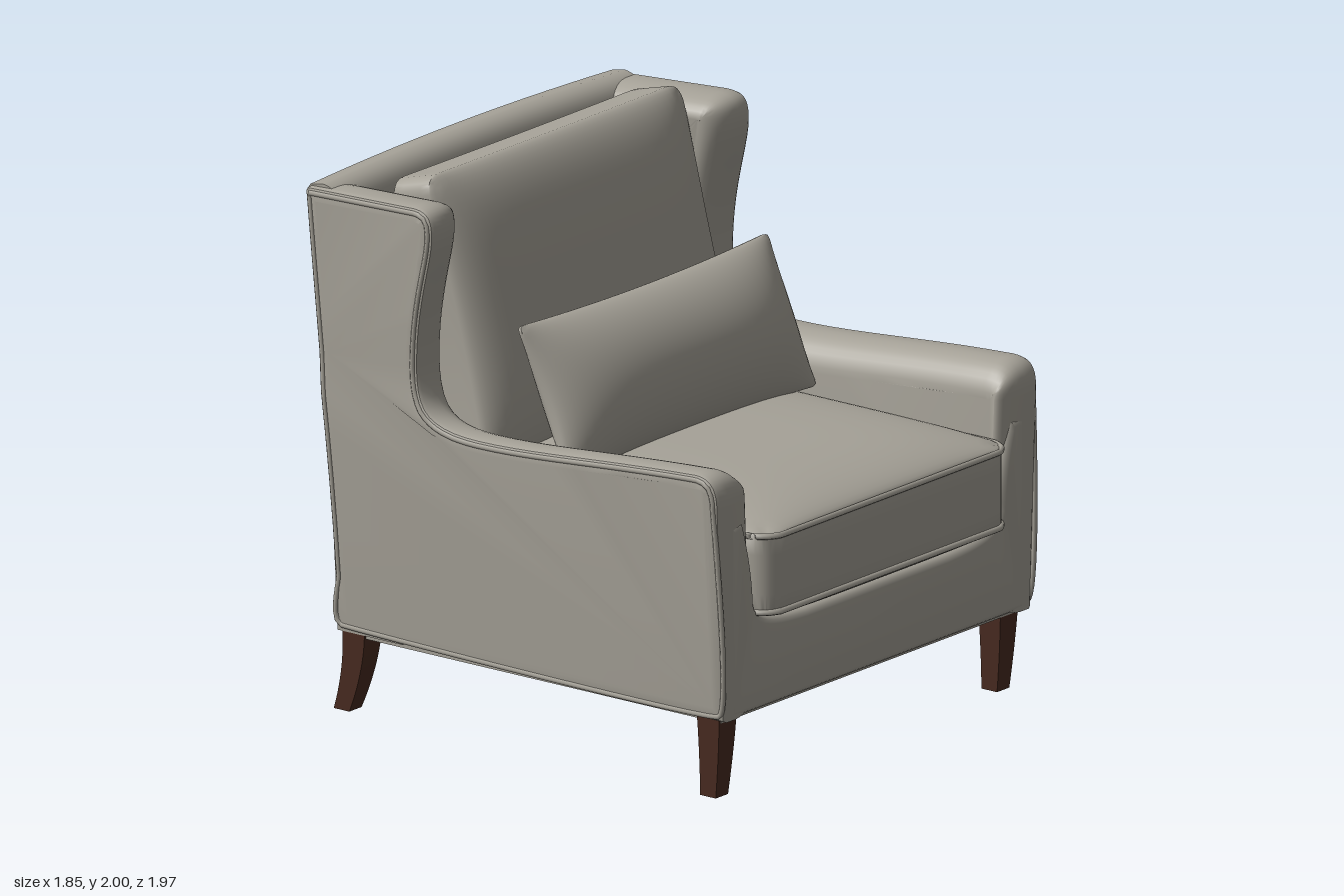
import * as THREE from 'three';
import { mergeVertices, toCreasedNormals } from 'three/addons/utils/BufferGeometryUtils.js';

const fabric = new THREE.MeshStandardMaterial({ color: 0xa6a298 });
fabric.name = 'warm grey fabric';
const wood = new THREE.MeshStandardMaterial({ color: 0x4a2c21 });
wood.name = 'dark brown wood';

function part(group, name, geometry, material = fabric) {
  const mesh = new THREE.Mesh(geometry, material);
  mesh.name = name;
  group.add(mesh);
  return mesh;
}

// Counter-clockwise points of a shape without repeats
function outlineOf(shape) {
  const pts = shape.getPoints(10);
  const clean = pts.filter((p, i) => p.distanceTo(pts[(i + 1) % pts.length]) > 1e-4);
  return THREE.ShapeUtils.isClockWise(clean) ? clean.reverse() : clean;
}

// Mitred outward normals of an outline
function normalsOf(pts) {
  const edge = (p, q) => new THREE.Vector2(q.y - p.y, p.x - q.x).normalize();
  return pts.map((p, i) => {
    const a = edge(pts[(i + pts.length - 1) % pts.length], p);
    const b = edge(p, pts[(i + 1) % pts.length]);
    return a.clone().add(b).divideScalar(Math.max(0.4, 1 + a.dot(b)));
  });
}

// Skin an outline through levels [t, inset]; place(p, n, t, inset) gives [x, y, z]
function loft(pts, levels, place, flip) {
  const n = pts.length, normals = normalsOf(pts), pos = [], idx = [];
  const tri = (a, b, c) => (flip ? idx.push(a, c, b) : idx.push(a, b, c));
  for (const [t, inset] of levels) pts.forEach((p, j) => pos.push(...place(p, normals[j], t, inset)));
  for (let i = 0; i < levels.length - 1; i++) {
    for (let j = 0; j < n; j++) {
      const a = i * n + j, b = i * n + (j + 1) % n;
      tri(a, b, b + n);
      tri(a, b + n, a + n);
    }
  }
  const last = (levels.length - 1) * n;
  for (const [a, b, c] of THREE.ShapeUtils.triangulateShape(pts, [])) {
    tri(a, c, b);
    tri(last + a, last + b, last + c);
  }
  const g = new THREE.BufferGeometry();
  g.setAttribute('position', new THREE.Float32BufferAttribute(pos, 3));
  g.setIndex(idx);
  return toCreasedNormals(g, 0.65);
}

// Closed cord through a list of points
function cord(points, radius) {
  const curve = new THREE.CatmullRomCurve3(points, true, 'catmullrom', 0.1);
  return new THREE.TubeGeometry(curve, 240, radius, 6, true);
}

// Turns a square's corner into an arc of radius r
function roundCorner(x, y, w, h, r) {
  const qx = THREE.MathUtils.clamp(x, r - w / 2, w / 2 - r);
  const qy = THREE.MathUtils.clamp(y, r - h / 2, h / 2 - r);
  const dx = x - qx, dy = y - qy, len = Math.hypot(dx, dy);
  const k = len > 0 ? Math.max(Math.abs(dx), Math.abs(dy)) / len : 1;
  return [qx + dx * k, qy + dy * k];
}

// Stuffed cushion in the xy plane, swelling along z
function cushion({ w, h, r, border, crown, pu = 4, pv = 4, soft = 0.6, pinchX = 0, pinchY = 0 }) {
  const g = new THREE.BoxGeometry(2, 2, 2, 32, 32, 4);
  const p = g.attributes.position;
  for (let i = 0; i < p.count; i++) {
    const u = Math.sin(p.getX(i) * Math.PI / 2), v = Math.sin(p.getY(i) * Math.PI / 2);
    const swell = Math.pow(Math.max(0, (1 - Math.abs(u) ** pu) * (1 - Math.abs(v) ** pv)), soft);
    const [x, y] = roundCorner(u * w / 2, v * h / 2, w, h, r);
    p.setXYZ(i, x * (1 - pinchX * (1 - v * v)), y * (1 - pinchY * (1 - u * u)),
      p.getZ(i) * (border / 2 + crown * swell));
  }
  g.deleteAttribute('uv');
  g.deleteAttribute('normal');
  return toCreasedNormals(mergeVertices(g), 0.8);
}

// Tapered square leg; sweep bends the foot along z
function leg(sweep) {
  const g = new THREE.BoxGeometry(1, 0.3, 1, 1, 10, 1);
  const p = g.attributes.position;
  for (let i = 0; i < p.count; i++) {
    const down = THREE.MathUtils.clamp(0.5 - p.getY(i) / 0.3, 0, 1), size = 0.1 - 0.03 * down;
    p.setXYZ(i, p.getX(i) * size, p.getY(i) + 0.15, p.getZ(i) * size + sweep * down ** 1.8);
  }
  return toCreasedNormals(g, 0.6);
}

export function createModel() {
  const model = new THREE.Group();
  model.name = 'armchair';

  // Side silhouette of arm and wing: shape x is depth z
  const side = new THREE.Shape();
  side.moveTo(-0.84, 0.3);
  side.lineTo(0.92, 0.3);
  side.lineTo(0.92, 1.1);
  side.bezierCurveTo(0.92, 1.18, 0.89, 1.215, 0.82, 1.215);
  side.bezierCurveTo(0.4, 1.195, 0.1, 1.15, -0.16, 1.15);
  side.bezierCurveTo(-0.36, 1.15, -0.44, 1.2, -0.44, 1.36);
  side.bezierCurveTo(-0.44, 1.6, -0.37, 1.75, -0.37, 1.85);
  side.bezierCurveTo(-0.37, 1.92, -0.39, 1.95, -0.46, 1.95);
  side.lineTo(-0.95, 1.925);
  side.lineTo(-0.97, 1.91);
  side.bezierCurveTo(-0.92, 1.4, -0.86, 1.0, -0.84, 0.3);
  const sidePts = outlineOf(side);
  const flare = (y, z) =>
    -0.04 * THREE.MathUtils.clamp((1.2 - y) / 0.9, 0, 1)
    - 0.01 * THREE.MathUtils.clamp((y - 1.2) / 0.1, 0, 1)
    - 0.03 * THREE.MathUtils.clamp((-0.4 - z) / 0.57, 0, 1);
  const sideAt = (s) => (p, n, t, inset) => {
    const small = t > 0.87;
    const z = p.x - n.x * inset * (small ? 1 : p.x > 0.6 ? 0.35 : 0.7);
    const y = p.y - n.y * inset * (small ? 1 : p.y > 1.5 ? 0.6 : 1);
    return [s * (t + flare(p.y, p.x)), y, z];
  };
  const sideLevels = [];
  for (let i = 0; i <= 8; i++) {
    const a = (i / 8) * Math.PI / 2;
    sideLevels.push([0.85 - 0.13 * Math.cos(a), 0.12 * (1 - Math.sin(a))]);
  }
  sideLevels.push([0.9, 0], [0.912, 0.006], [0.918, 0.02], [0.919, 0.05]);
  const sideNormals = normalsOf(sidePts);
  for (const [s, label] of [[1, 'left'], [-1, 'right']]) {
    const at = sideAt(s);
    part(model, label + 'ArmAndWing', loft(sidePts, sideLevels, at, s > 0));
    const seam = sidePts.map((p, j) => new THREE.Vector3(...at(p, sideNormals[j], 0.915, 0.022)));
    part(model, label + 'SidePiping', cord(seam, 0.01));
  }

  // Backrest, slightly bowed towards the rear
  const back = new THREE.Shape();
  back.moveTo(-0.84, 0.3);
  back.lineTo(-0.55, 0.3);
  back.lineTo(-0.81, 1.86);
  back.quadraticCurveTo(-0.83, 1.935, -0.9, 1.94);
  back.lineTo(-0.955, 1.93);
  back.lineTo(-0.97, 1.91);
  back.bezierCurveTo(-0.92, 1.4, -0.86, 1.0, -0.84, 0.3);
  const backLevels = Array.from({ length: 15 }, (_, i) => [-0.87 + (1.74 * i) / 14, 0]);
  const backAt = (p, n, t) => {
    const bow = (1 - (t / 0.87) ** 2) * (p.y - 0.3) / 1.6;
    return [t * (1 + flare(p.y, -0.97) * 0.3), p.y + 0.012 * bow, p.x - 0.018 * bow];
  };
  part(model, 'backrest', loft(outlineOf(back), backLevels, backAt, true));

  // Front rail curving up into the arms
  const rail = new THREE.Shape();
  rail.moveTo(-0.84, 0.3);
  rail.lineTo(0.84, 0.3);
  rail.lineTo(0.84, 1.02);
  rail.lineTo(0.76, 1.02);
  rail.bezierCurveTo(0.72, 0.9, 0.7, 0.8, 0.695, 0.7);
  rail.bezierCurveTo(0.68, 0.64, 0.6, 0.62, 0.4, 0.612);
  rail.lineTo(-0.4, 0.612);
  rail.bezierCurveTo(-0.6, 0.62, -0.68, 0.64, -0.695, 0.7);
  rail.bezierCurveTo(-0.7, 0.8, -0.72, 0.9, -0.76, 1.02);
  rail.lineTo(-0.84, 1.02);
  const railLevels = [[0.6, 0], [0.89, 0], [0.905, 0.004], [0.918, 0.014], [0.923, 0.028]];
  part(model, 'frontRail', loft(outlineOf(rail), railLevels,
    (p, n, t, d) => [p.x - n.x * d, p.y - n.y * d, t], false));

  // Base under the seat
  const base = new THREE.BoxGeometry(1.68, 0.32, 1.7);
  base.translate(0, 0.445, 0.03);
  part(model, 'seatBase', base);

  // Seat cushion with piped edges
  const seat = new THREE.Group();
  seat.name = 'seatCushionGroup';
  seat.position.set(0, 0.805, 0.21);
  model.add(seat);
  const seatGeo = cushion({ w: 1.4, h: 1.53, r: 0.1, border: 0.29, crown: 0.08 });
  seatGeo.rotateX(-Math.PI / 2);
  part(seat, 'seatCushion', seatGeo);
  const loop = [];
  for (const [cx, cz, start] of [[0.6, 0.665, 0], [-0.6, 0.665, 1], [-0.6, -0.665, 2], [0.6, -0.665, 3]]) {
    for (let i = 0; i <= 6; i++) {
      const a = (start + i / 6) * Math.PI / 2;
      loop.push(new THREE.Vector3(cx + 0.1 * Math.cos(a), 0, cz + 0.1 * Math.sin(a)));
    }
  }
  for (const y of [-0.14, 0.142]) part(seat, 'seatPiping', cord(loop, 0.012)).position.y = y;

  // Leaning back cushion
  const backCushion = part(model, 'backCushion',
    cushion({ w: 1.45, h: 1.08, r: 0.07, border: 0.16, crown: 0.1, pu: 6, pv: 4, pinchX: 0.03, pinchY: 0.005 }));
  backCushion.position.set(0, 1.455, -0.485);
  backCushion.rotation.x = -0.26;

  // Lumbar pillow with pinched corners
  const pillow = part(model, 'lumbarPillow',
    cushion({ w: 1.42, h: 0.57, r: 0.03, border: 0.012, crown: 0.145, pu: 4, pv: 2, soft: 0.65, pinchX: 0.035, pinchY: 0.07 }));
  pillow.position.set(0, 1.26, -0.03);
  pillow.rotation.x = -0.4;

  // Straight front legs and swept rear legs
  for (const s of [1, -1]) {
    part(model, 'frontLeg', leg(-0.012), wood).position.set(s * 0.8, 0, 0.828);
    part(model, 'rearLeg', leg(-0.065), wood).position.set(s * 0.8, 0, -0.77);
  }
  return model;
}
